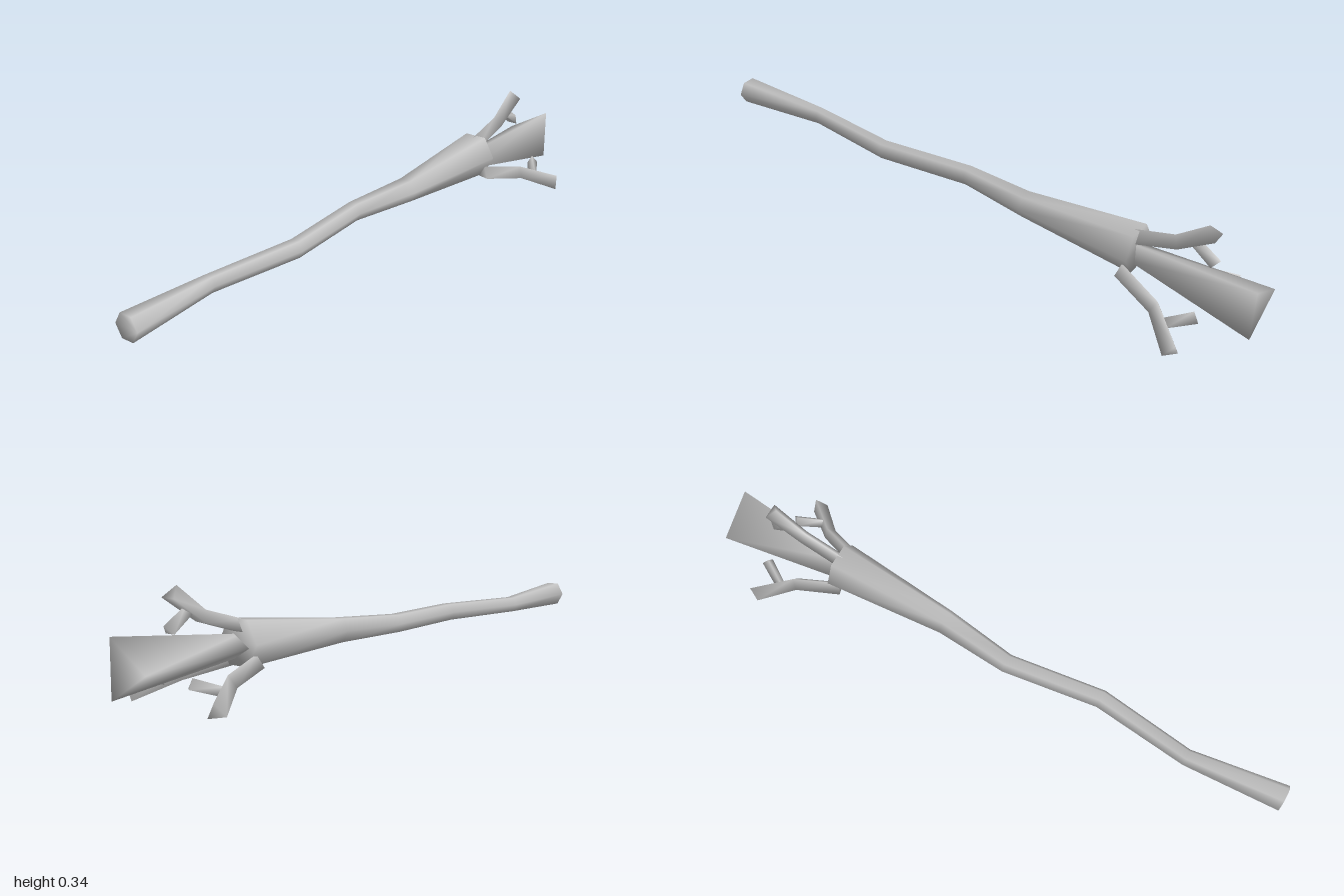
import * as THREE from 'three';

// Smooth capped loft along x. Each row is [x, y, z, radius, tilt in the xy plane].
function loft(rows, sides, startAngle) {
  const pos = [], idx = [];
  for (const [x, y, z, r, tilt = 0] of rows) {
    for (let k = 0; k < sides; k++) {
      const a = startAngle + (k / sides) * Math.PI * 2;
      const c = r * Math.cos(a);
      pos.push(x - c * Math.sin(tilt), y + c * Math.cos(tilt), z + r * Math.sin(a));
    }
  }
  for (let i = 0; i < rows.length - 1; i++) {
    for (let k = 0; k < sides; k++) {
      const n = (k + 1) % sides;
      const a = i * sides + k, b = i * sides + n;
      idx.push(a, b, a + sides, b, b + sides, a + sides);
    }
  }
  const last = (rows.length - 1) * sides;
  for (let k = 1; k < sides - 1; k++) {
    idx.push(0, k + 1, k, last, last + k, last + k + 1);
  }
  const geo = new THREE.BufferGeometry();
  geo.setAttribute('position', new THREE.Float32BufferAttribute(pos, 3));
  geo.setIndex(idx);
  geo.computeVertexNormals();
  return geo;
}

export function createModel() {
  const model = new THREE.Group();
  model.name = 'branchedStick';
  const grey = new THREE.MeshStandardMaterial({ color: 0xbfbfbf });
  grey.name = 'grey';
  const add = (parent, name, geo) => {
    const mesh = new THREE.Mesh(geo, grey);
    mesh.name = name;
    parent.add(mesh);
  };

  // Wavy six-sided shaft, thickening towards the branching end
  add(model, 'shaft', loft([
    [-1, 0.152, -0.01, 0.044],
    [-0.68, 0.144, -0.037, 0.028],
    [-0.36, 0.147, 0.002, 0.031],
    [-0.04, 0.148, -0.039, 0.032],
    [0.2, 0.151, -0.012, 0.042],
    [0.605, 0.162, -0.008, 0.078],
  ], 6, Math.PI / 2));

  // Three-sided flaring end
  add(model, 'flaredEnd', loft([
    [0.58, 0.15, -0.012, 0.038],
    [1, 0.135, -0.005, 0.099],
  ], 3, -Math.PI / 2));

  // Three bent side branches with a twig each: [angle about x, tip x, tip radius]
  const branches = [[0, 0.838, 0.185], [Math.PI * 2 / 3, 0.835, 0.227], [-Math.PI * 2 / 3, 0.85, 0.217]];
  branches.forEach(([angle, tipX, tipR], i) => {
    const branch = new THREE.Group();
    branch.name = 'branch' + (i + 1);
    branch.position.set(0, 0.137, -0.006);
    branch.rotation.x = angle;
    const kneeR = 0.108 + (tipR - 0.185) * 0.4;
    add(branch, 'limb', loft([
      [0.58, 0.062, 0, 0.026, 0.3],
      [0.73, kneeR, 0, 0.025, 0.5],
      [tipX, tipR, 0, 0.03, 0.75],
    ], 3, 0));
    const lift = (tipR - 0.185) * 0.45;
    add(branch, 'twig', loft([
      [0.775, 0.138 + lift, 0, 0.018, -0.6],
      [0.85, 0.085 + lift, 0, 0.021, -0.75],
    ], 3, 0));
    model.add(branch);
  });

  return model;
}
